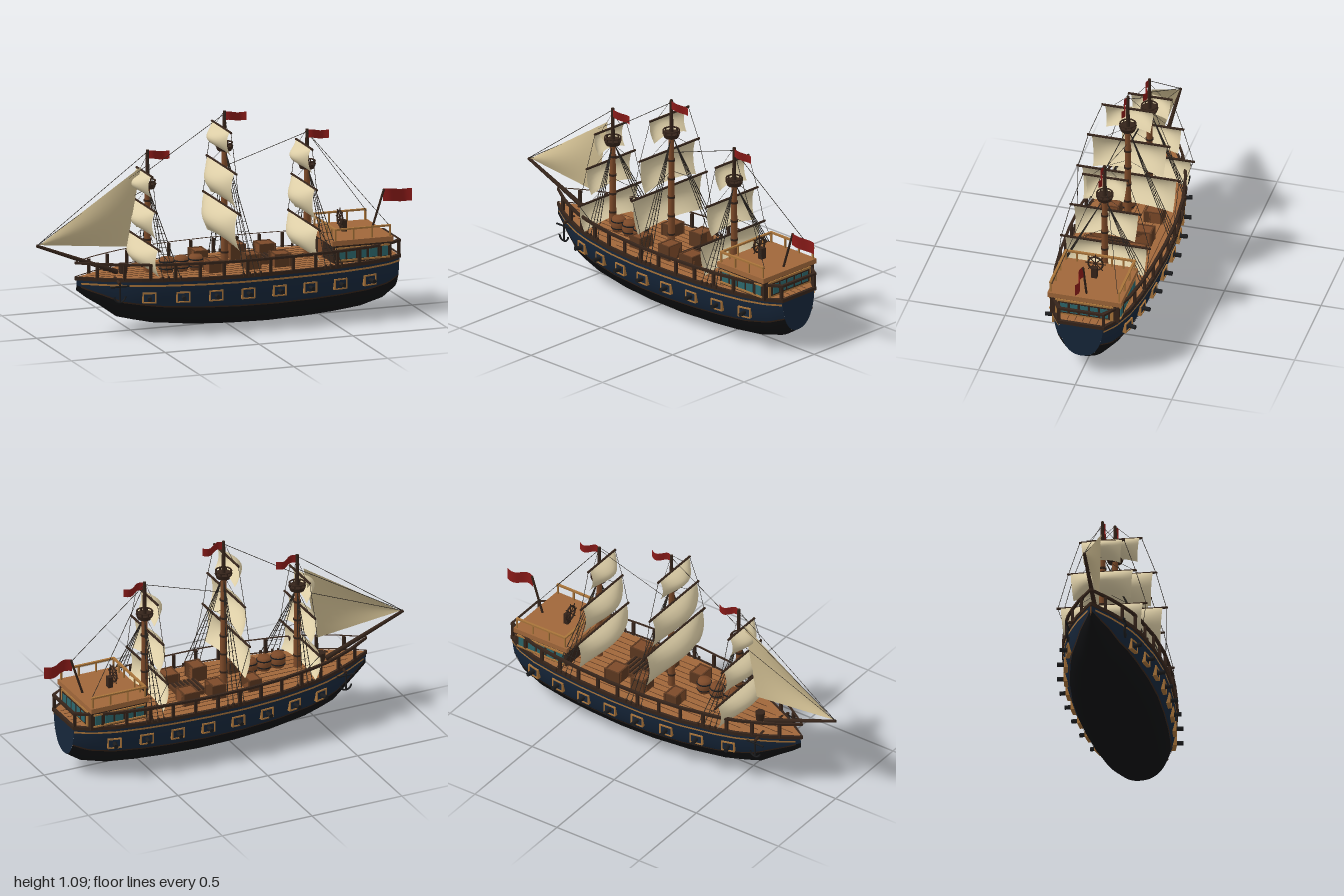
import * as THREE from 'three';

const mat = (color, side = THREE.FrontSide) => new THREE.MeshStandardMaterial({ color, side, roughness: 0.9 });
const V = (x, y, z) => new THREE.Vector3(x, y, z);
const TOP = 0.29, STERN = 0.89;
// hull stations: x, half width at deck, keel height
const ST = [[-0.79, 0.004, 0.23], [-0.74, 0.035, 0.19], [-0.67, 0.08, 0.145], [-0.58, 0.125, 0.08], [-0.5, 0.16, 0.06],
  [-0.4, 0.19, 0.037], [-0.2, 0.23, 0.015], [0, 0.249, 0.004], [0.2, 0.25, 0], [0.4, 0.24, 0.006], [0.55, 0.225, 0.015],
  [0.7, 0.2, 0.03], [0.82, 0.16, 0.06], [STERN, 0.113, 0.105]];

function station(x) {
  let i = 0;
  while (i < ST.length - 2 && x > ST[i + 1][0]) i++;
  const t = (x - ST[i][0]) / (ST[i + 1][0] - ST[i][0]);
  return [1, 2].map(k => ST[i][k] + (ST[i + 1][k] - ST[i][k]) * t);
}
const bulge = a => -Math.sign(Math.cos(a)) * Math.abs(Math.cos(a)) ** 0.85;
const sideZ = (x, y) => {
  const [w, k] = station(x);
  return w * (1 - ((TOP - y) / (TOP - k)) ** 2) ** 0.425;
};

// surface grid from a rule p(u, v)
function grid(nu, nv, p) {
  const pos = [], idx = [];
  for (let i = 0; i <= nu; i++) for (let j = 0; j <= nv; j++) pos.push(...p(i / nu, j / nv));
  for (let i = 0; i < nu; i++) for (let j = 0; j < nv; j++) {
    const a = i * (nv + 1) + j, b = a + nv + 1;
    idx.push(a, b, a + 1, b, b + 1, a + 1);
  }
  const g = new THREE.BufferGeometry();
  g.setAttribute('position', new THREE.Float32BufferAttribute(pos, 3));
  g.setIndex(idx);
  g.computeVertexNormals();
  return g;
}

// deck outline, grown sideways by d
function outline(d, Type = THREE.Shape) {
  const half = ST.map(([x, w], i) => [x + (i === 0 ? -d : i === ST.length - 1 ? d : 0), Math.max(0.001, w + (i ? d : 0))]);
  const pts = [...half, ...half.map(([x, w]) => [x, -w]).reverse()];
  return new Type(pts.map(p => new THREE.Vector2(...p)));
}

export function createModel() {
  const ship = new THREE.Group();
  const D = THREE.DoubleSide;
  const M = {
    blue: mat(0x16263a), black: mat(0x101113), deck: mat(0xa0673a), plank: mat(0x5c3820), dark: mat(0x35241a),
    wood: mat(0x7d4a29), gold: mat(0xa9743a), goldBand: mat(0xa9743a, D), darkBand: mat(0x35241a, D), glass: mat(0x2c666b),
    iron: mat(0x1b1c1e), rope: mat(0x2b2621), sail: mat(0xdccdA6, D), jib: mat(0xcdbb90, D), red: mat(0x8a1a18, D),
  };
  const add = (name, g, m, x = 0, y = 0, z = 0, parent = ship) => {
    const o = new THREE.Mesh(g, m);
    o.name = name;
    o.position.set(x, y, z);
    parent.add(o);
    return o;
  };
  const box = (name, m, sx, sy, sz, x, y, z) => add(name, new THREE.BoxGeometry(sx, sy, sz), m, x, y, z);
  const cyl = (name, m, r0, r1, h, x, y, z, n = 12) => add(name, new THREE.CylinderGeometry(r0, r1, h, n), m, x, y, z);
  const beam = (name, m, a, b, r, r2 = r, n = 8) => {
    const d = b.clone().sub(a), o = cyl(name, m, r2, r, d.length(), 0, 0, 0, n);
    o.position.copy(a).add(b).multiplyScalar(0.5);
    o.quaternion.setFromUnitVectors(V(0, 1, 0), d.normalize());
    return o;
  };
  const rope = (a, b, r = 0.0015) => beam('rope', M.rope, a, b, r, r, 4);

  // hull: black bottom, blue topsides, flat transom
  const hull = (name, m, a0, a1) => add(name, grid(ST.length - 1, 16, (u, v) => {
    const [x, w, k] = ST[Math.round(u * (ST.length - 1))], a = a0 + (a1 - a0) * v;
    return [x, TOP - (TOP - k) * Math.sin(a), w * bulge(a)];
  }), m);
  const split = 0.58;
  hull('hullBottom', M.black, split, Math.PI - split);
  hull('hullSideRight', M.blue, 0, split);
  hull('hullSideLeft', M.blue, Math.PI - split, Math.PI);
  const [sw, sk] = station(STERN);
  add('transom', grid(1, 24, (u, v) => [STERN, TOP - (TOP - sk) * Math.sin(v * Math.PI) * (1 - u), sw * bulge(v * Math.PI) * (1 - u)]), M.blue);

  // deck and gunwale
  const flat = (name, shape, h, y, m) => add(name, new THREE.ExtrudeGeometry(shape, { depth: h, bevelEnabled: false }).rotateX(-Math.PI / 2), m, 0, y, 0);
  flat('deck', outline(-0.004), 0.012, 0.284, M.deck);
  for (const [name, y, h] of [['gunwale', 0.282, 0.018], ['topRail', 0.364, 0.012]]) {
    const s = outline(0.007);
    s.holes.push(outline(-0.008, THREE.Path));
    flat(name, s, h, y, M.dark);
  }
  for (let i = -5; i <= 5; i++) {
    const z = i * 0.038, inside = ST.filter(s => s[1] > Math.abs(z) + 0.02).map(s => s[0]);
    const x0 = inside[0], x1 = Math.min(0.87, inside[inside.length - 1]);
    box('plankSeam', M.plank, x1 - x0, 0.002, 0.003, (x0 + x1) / 2, 0.2965, z);
  }

  for (const s of [1, -1]) {
    // trim bands following the hull side
    const trim = (name, m, yAt, h) => add(name, grid(60, 1, (u, v) => {
      const x = -0.77 + u * 1.66, y = yAt(x) + (v - 0.5) * h;
      return [x, y, s * (sideZ(x, y) + 0.004)];
    }), m);
    trim('goldTrim', M.goldBand, x => 0.262 + 0.006 * x * x, 0.01);
    trim('wale', M.darkBand, x => TOP - (TOP - station(x)[1]) * 0.55, 0.008);
    // railing posts
    for (let i = 0; i <= 13; i++) {
      const x = -0.7 + i * 0.122;
      box('railPost', M.dark, 0.014, 0.08, 0.014, x, 0.33, s * station(x)[0]);
    }
    // gun ports with cannons
    for (let i = 0; i < 8; i++) {
      const x = -0.46 + i * 0.166, y = 0.2, z = s * (sideZ(x, y) + 0.002);
      const turn = -Math.atan((sideZ(x + 0.03, y) - sideZ(x - 0.03, y)) / 0.06) * s;
      const port = new THREE.Group();
      port.name = 'gunPort';
      port.position.set(x, y, z);
      port.rotation.y = turn;
      ship.add(port);
      for (const e of [1, -1]) {
        add('portFrameBar', new THREE.BoxGeometry(0.07, 0.007, 0.02), M.gold, 0, e * 0.024, 0, port);
        add('portFramePost', new THREE.BoxGeometry(0.007, 0.055, 0.02), M.gold, e * 0.032, 0, 0, port);
      }
      add('portLid', new THREE.BoxGeometry(0.058, 0.042, 0.012), M.blue, 0, 0, 0, port);
      add('cannon', new THREE.CylinderGeometry(0.011, 0.011, 0.07, 10).rotateX(Math.PI / 2), M.iron, 0, 0, s * 0.01, port);
    }
    // anchor
    const az = s * 0.145, ax = -0.61;
    beam('anchorStock', M.iron, V(-0.66, 0.265, az), V(-0.56, 0.265, az), 0.005);
    beam('anchorShank', M.iron, V(ax, 0.275, az), V(ax, 0.185, az), 0.005);
    add('anchorArms', new THREE.TorusGeometry(0.03, 0.005, 6, 12, Math.PI).rotateZ(Math.PI), M.iron, ax, 0.215, az);
    beam('cathead', M.dark, V(ax, 0.295, s * 0.07), V(ax, 0.28, az), 0.008);
    // crates
    for (const [x, w, h] of [[-0.1, 0.07, 0.06], [0.1, 0.075, 0.075], [0.255, 0.085, 0.065]]) {
      box('crate', M.wood, w, h, 0.09, x, 0.295 + h / 2, s * 0.112);
      for (const e of [1, -1]) {
        box('crateBatten', M.plank, 0.008, h + 0.006, 0.096, x + e * (w / 2 - 0.004), 0.295 + h / 2, s * 0.112);
        box('crateEdge', M.plank, w + 0.004, h + 0.006, 0.008, x, 0.295 + h / 2, s * 0.112 + e * 0.042);
      }
    }
    // cabin side windows and roof rail
    for (let i = 0; i < 5; i++) box('sideWindow', M.glass, 0.042, 0.05, 0.006, 0.555 + i * 0.057, 0.34, s * 0.181);
    for (const y of [0.308, 0.371]) box('windowTrim', M.gold, 0.29, 0.008, 0.01, 0.668, y, s * 0.181);
    for (let i = 0; i < 4; i++) box('roofRailPost', M.gold, 0.008, 0.055, 0.008, 0.525 + i * 0.097, 0.44, s * 0.178);
    box('roofRail', M.gold, 0.3, 0.009, 0.012, 0.67, 0.468, s * 0.178);
    for (let i = 0; i < 2; i++) box('roofRailPost', M.gold, 0.008, 0.055, 0.008, 0.525, 0.44, s * (0.06 + 0.06 * i));
  }
  box('frontRoofRail', M.gold, 0.012, 0.009, 0.36, 0.525, 0.468, 0);

  // stern cabin
  box('cabin', M.dark, 0.31, 0.1, 0.356, 0.67, 0.34, 0);
  box('cabinRoof', M.deck, 0.325, 0.026, 0.38, 0.668, 0.4, 0);
  box('sternWindowFrame', M.gold, 0.01, 0.085, 0.3, 0.827, 0.34, 0);
  box('sternWindowPanel', M.dark, 0.01, 0.066, 0.27, 0.829, 0.34, 0);
  for (let i = -2; i <= 2; i++) box('sternWindow', M.glass, 0.01, 0.052, 0.04, 0.831, 0.34, i * 0.052);
  box('cabinDoor', M.wood, 0.008, 0.08, 0.06, 0.513, 0.335, 0);

  // steering wheel
  box('wheelStand', M.dark, 0.025, 0.06, 0.03, 0.635, 0.44, 0);
  add('wheelRim', new THREE.TorusGeometry(0.038, 0.005, 8, 24).rotateY(Math.PI / 2), M.dark, 0.615, 0.48, 0);
  for (let i = 0; i < 4; i++) {
    const d = V(0, Math.cos(i * Math.PI / 4), Math.sin(i * Math.PI / 4)).multiplyScalar(0.053), c = V(0.615, 0.48, 0);
    beam('wheelSpoke', M.dark, c.clone().sub(d), c.clone().add(d), 0.003);
  }

  // deck fittings
  box('hatchFrame', M.plank, 0.15, 0.022, 0.14, 0.2, 0.305, 0);
  for (let i = 0; i < 6; i++) box('hatchSlat', M.dark, 0.01, 0.01, 0.13, 0.1425 + i * 0.023, 0.318, 0);
  const barrel = new THREE.LatheGeometry([[0, 0], [0.03, 0], [0.037, 0.02], [0.039, 0.037], [0.037, 0.054], [0.03, 0.074], [0, 0.074]].map(p => new THREE.Vector2(...p)), 16);
  for (const x of [-0.325, -0.247, -0.169]) {
    add('barrel', barrel, M.wood, x, 0.295, 0.045);
    for (const y of [0.315, 0.35]) cyl('barrelHoop', M.iron, 0.039, 0.039, 0.006, x, y, 0.045, 16);
  }
  cyl('capstan', M.dark, 0.025, 0.02, 0.05, -0.54, 0.32, 0);

  // bowsprit
  const tip = V(-1, 0.475, 0);
  beam('bowsprit', M.dark, V(-0.57, 0.305, 0), tip, 0.013, 0.008);

  const flag = (x, y, w, h) => add('flag', grid(12, 2, (u, v) => [x + u * w, y + v * h - 0.012 * u + 0.004 * Math.sin(u * 7), 0.012 * Math.sin(u * 6.3)]), M.red);

  // masts with yards, square sails, lookout and shrouds: x, top, nest height, yards [y, half length, sail drop]
  const masts = [
    [-0.41, 0.92, 0.74, [[0.805, 0.115, 0.12], [0.635, 0.175, 0.145], [0.45, 0.23, 0.145]]],
    [0, 1.085, 0.9, [[1.003, 0.14, 0.125], [0.808, 0.215, 0.18], [0.611, 0.27, 0.19]]],
    [0.44, 0.955, 0.77, [[0.876, 0.12, 0.13], [0.682, 0.185, 0.165], [0.485, 0.235, 0.165]]],
  ];
  for (const [x, top, nest, yards] of masts) {
    beam('lowerMast', M.wood, V(x, 0.28, 0), V(x, nest, 0), 0.019, 0.014, 12);
    beam('upperMast', M.dark, V(x, nest, 0), V(x, top, 0), 0.011, 0.008, 10);
    for (let y = 0.36; y < nest - 0.05; y += 0.1) cyl('mastBand', M.dark, 0.02, 0.02, 0.01, x, y, 0);
    cyl('lookoutFloor', M.dark, 0.045, 0.036, 0.024, x, nest - 0.005, 0, 16);
    add('lookoutRail', new THREE.TorusGeometry(0.04, 0.004, 6, 20).rotateX(Math.PI / 2), M.dark, x, nest + 0.022, 0);
    for (let i = 0; i < 8; i++) box('lookoutPost', M.dark, 0.006, 0.022, 0.006, x + 0.04 * Math.cos(i * Math.PI / 4), nest + 0.012, 0.04 * Math.sin(i * Math.PI / 4));
    flag(x, top - 0.047, 0.118, 0.042);

    yards.forEach(([y, half, drop], i) => {
      const yx = x - 0.015;
      beam('yard', M.dark, V(yx, y, -half), V(yx, y, half), 0.006);
      add('squareSail', grid(14, 12, (u, v) => {
        const c = u * 2 - 1, belly = Math.sin(Math.PI * Math.min(1, v * 0.97)) ** 0.8;
        return [yx - 0.004 - belly * (0.02 + 0.056 * (1 - c * c)) + 0.016 * v, y - drop * v + 0.018 * v * (1 - c * c), c * (half * 0.9 - 0.012 * v)];
      }), M.sail);
      for (const s of [1, -1]) {
        const next = yards[i + 1];
        const foot = next ? V(yx, next[0], s * next[1] * 0.97) : V(x + 0.05, 0.37, s * station(x + 0.05)[0]);
        rope(V(yx, y, s * half * 0.97), foot);
        rope(V(yx, y, s * half * 0.6), V(x, Math.min(y + 0.09, top), 0), 0.001);
      }
    });

    // shrouds and ratlines
    for (const s of [1, -1]) {
      const head = V(x + 0.005, nest - 0.03, s * 0.012);
      const feet = [0, 1, 2, 3].map(i => V(x + 0.01 + i * 0.03, 0.3, s * (station(x + i * 0.03)[0] + 0.005)));
      feet.forEach(f => { rope(head, f, 0.002); cyl('deadeye', M.dark, 0.007, 0.007, 0.02, f.x, f.y, f.z, 8); });
      for (let t = 0.25; t < 0.95; t += 0.08) rope(head.clone().lerp(feet[0], t), head.clone().lerp(feet[3], t), 0.001);
    }
  }

  // headsail and stays
  const [ja, jb, jc] = [V(-0.985, 0.478, 0), V(-0.445, 0.835, 0), V(-0.52, 0.43, 0)];
  add('headsail', grid(10, 10, (u, v) => {
    const p = ja.clone().lerp(jb.clone().lerp(jc, v), u);
    return [p.x, p.y, 0.02 * Math.sin(Math.PI * v) * u * (1 - u) * 4];
  }), M.jib);
  rope(tip, V(-0.41, 0.91, 0));
  rope(tip, V(-0.41, 0.84, 0));
  rope(tip, V(-0.41, 0.72, 0));
  rope(V(-0.41, 0.81, 0), V(0, 1.07, 0));
  rope(V(0, 0.8, 0), V(0.44, 0.94, 0));
  for (const s of [1, -1]) rope(V(0.44, 0.94, 0), V(0.82, 0.46, s * 0.17));

  // ensign at the stern
  beam('ensignStaff', M.dark, V(0.785, 0.41, 0), V(0.85, 0.61, 0), 0.006);
  flag(0.845, 0.548, 0.155, 0.064);
  return ship;
}
